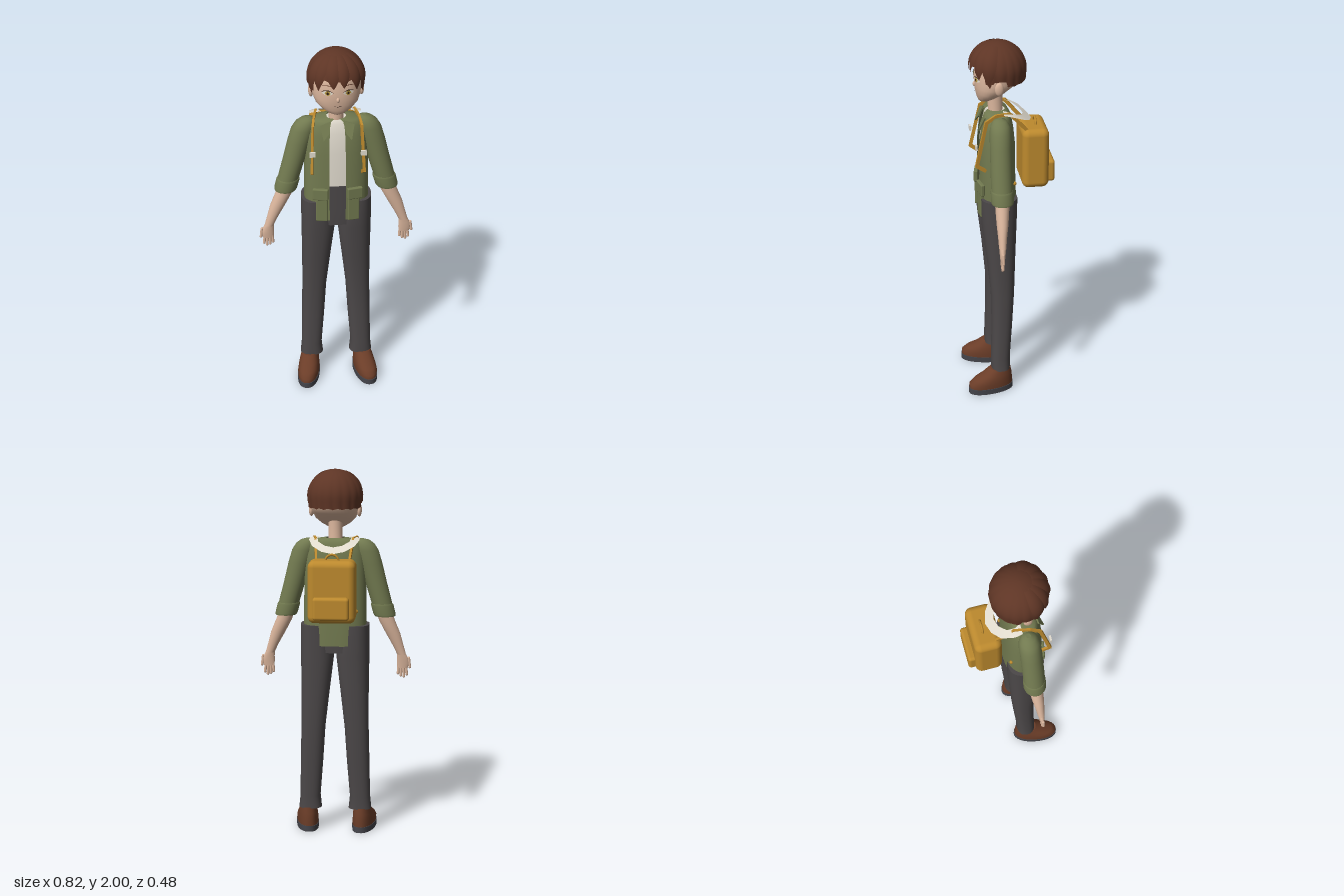
import * as THREE from 'three';
import { mergeGeometries } from 'three/addons/utils/BufferGeometryUtils.js';
import { RoundedBoxGeometry } from 'three/addons/geometries/RoundedBoxGeometry.js';

const mat = (name, color, side = THREE.FrontSide) => {
  const m = new THREE.MeshStandardMaterial({ color, side });
  m.name = name;
  return m;
};

// Grid surface from a rule fn(u, v) -> [x, y, z]; closed joins the u ends
function surface(nu, nv, fn, closed = false) {
  const cols = closed ? nu : nu + 1, pos = [], idx = [];
  for (let i = 0; i <= nv; i++) for (let j = 0; j < cols; j++) pos.push(...fn(j / nu, i / nv));
  for (let i = 0; i < nv; i++) for (let j = 0; j < nu; j++) {
    const a = i * cols + j, b = i * cols + (j + 1) % cols;
    idx.push(a, b, a + cols, b, b + cols, a + cols);
  }
  const g = new THREE.BufferGeometry();
  g.setAttribute('position', new THREE.Float32BufferAttribute(pos, 3));
  g.setIndex(idx);
  g.computeVertexNormals();
  return g;
}

// Point on a superellipse section [y, cx, cz, rx, rz]
function ringPoint([y, cx, cz, rx, rz], a, p) {
  const f = t => Math.sign(t) * Math.abs(t) ** (2 / p);
  return [cx + rx * f(Math.sin(a)), y, cz + rz * f(Math.cos(a))];
}

// Loft through sections ordered upwards; a gap leaves the front open
function loft(rows, { p = 2, gap = 0, n = 32 } = {}) {
  const at = (r, u) => ringPoint(r, gap + u * (2 * Math.PI - 2 * gap), p);
  const m = rows.length - 1;
  const wall = surface(n, m, (u, v) => at(rows[Math.round(v * m)], u), !gap);
  if (gap) return wall;
  const mid = r => [r[1], r[0], r[2]].map((c, i, l) => l[i]);
  const cap = (r, top) => surface(n, 1, (u, v) => ((v === 1) === top ? mid(r) : at(r, u)), true);
  return mergeGeometries([wall, cap(rows[m], true), cap(rows[0], false)]);
}

export function createModel() {
  const D = THREE.DoubleSide;
  const skin = mat('skin', 0xdab59c), hair = mat('hair', 0x5e3525, D), olive = mat('jacket olive', 0x727a50, D);
  const dark = mat('trouser grey', 0x4c4849), gold = mat('pack gold', 0xbd8a2e), cream = mat('cream', 0xe2dccf, D);
  const leather = mat('shoe leather', 0x6b3d28), rubber = mat('sole rubber', 0x45454b);
  const line = mat('dark line', 0x2c1c17, D), iris = mat('iris amber', 0xb0913a, D);
  const model = new THREE.Group();
  const add = (name, geo, m, x = 0, y = 0, z = 0) => {
    const mesh = new THREE.Mesh(geo, m);
    mesh.name = name;
    mesh.position.set(x, y, z);
    model.add(mesh);
    return mesh;
  };
  // Box stretched between two points
  const bar = (name, a, b, w, h, m) => {
    const A = new THREE.Vector3(...a), B = new THREE.Vector3(...b);
    const mesh = add(name, new THREE.BoxGeometry(w, h, A.distanceTo(B) + 0.008), m);
    mesh.position.copy(A).add(B).multiplyScalar(0.5);
    mesh.lookAt(B);
  };

  // Head: [y, half width, front z, back z]
  const head = [[1.68, 0.02, 0.138, 0.1], [1.69, 0.045, 0.147, 0.085], [1.71, 0.077, 0.155, 0.05],
    [1.74, 0.108, 0.162, 0.005], [1.77, 0.121, 0.166, -0.035], [1.8, 0.128, 0.167, -0.065],
    [1.86, 0.131, 0.165, -0.08], [1.91, 0.115, 0.15, -0.065], [1.95, 0.08, 0.12, -0.03], [1.97, 0.03, 0.07, 0.02]]
    .map(([y, w, f, b]) => [y, 0, (f + b) / 2, w, (f - b) / 2]);
  add('head', loft(head, { p: 2.1, n: 40 }), skin);
  add('neck', loft([[1.57, 0, 0.055, 0.045, 0.045], [1.63, 0, 0.058, 0.038, 0.038], [1.73, 0, 0.06, 0.038, 0.04]]), skin);
  add('nose', new THREE.SphereGeometry(1, 16, 10), skin, 0, 1.775, 0.164).scale.set(0.009, 0.014, 0.01);

  // Face details are thin faces laid on the head surface
  const faceZ = (x, y) => {
    const i = Math.max(0, head.findIndex(r => r[0] > y) - 1), t = (y - head[i][0]) / (head[i + 1][0] - head[i][0]);
    const [, , cz, rx, rz] = head[i].map((c, k) => c + (head[i + 1][k] - c) * t);
    return cz + rz * (1 - Math.abs(x / rx) ** 2.1) ** (1 / 2.1);
  };
  const leaf = (name, x, y, w, up, down, off, m) => {
    const s = new THREE.Shape();
    s.moveTo(x - w, y);
    s.quadraticCurveTo(x, y + 2 * down, x + w, y);
    s.quadraticCurveTo(x, y + 2 * up, x - w, y);
    const g = new THREE.ShapeGeometry(s, 10), q = g.attributes.position;
    for (let i = 0; i < q.count; i++) q.setZ(i, faceZ(q.getX(i), q.getY(i)) + off);
    g.computeVertexNormals();
    add(name, g, m);
  };
  for (const s of [1, -1]) {
    leaf('eyeWhite', s * 0.053, 1.814, 0.028, 0.013, -0.012, 0.003, cream);
    leaf('eyeIris', s * 0.052, 1.814, 0.015, 0.013, -0.012, 0.005, iris);
    leaf('eyePupil', s * 0.052, 1.814, 0.006, 0.007, -0.007, 0.007, line);
    leaf('upperLid', s * 0.054, 1.818, 0.031, 0.014, 0.009, 0.006, line);
    leaf('eyebrow', s * 0.055, 1.85, 0.028, 0.008, 0.004, 0.004, hair);
    add('ear', new THREE.SphereGeometry(1, 16, 12), skin, s * 0.128, 1.785, 0.055).scale.set(0.014, 0.036, 0.023);
  }
  leaf('mouth', 0, 1.742, 0.022, -0.003, -0.006, 0.003, line);

  // Hair: grooved cap with an uneven hem, plus overlapping fringe locks
  const hairPoint = (a, y, off) => {
    const d = (y - 1.86) / 0.14;
    const r = (d > 0 ? 0.146 * Math.sqrt(Math.max(0, 1 - d * d)) : 0.146 * (1 + d * 0.1)) + off;
    return [r * Math.sin(a), y, 0.045 + r * Math.cos(a)];
  };
  const hem = a => {
    const c = Math.abs(a > Math.PI ? a - 2 * Math.PI : a);
    const base = c < 0.95 ? 1.885 : c < 1.3 ? 1.81 : c < 1.75 ? 1.825 : 1.795;
    return base + 0.007 * Math.abs(Math.sin(a * 9));
  };
  add('hairCap', surface(108, 16, (u, v) => {
    const a = u * 2 * Math.PI, y0 = hem(a), w = Math.sin(v * Math.PI / 2);
    return hairPoint(a, y0 + (2 - y0) * w, 0.004 * (1 - w) * Math.abs(Math.sin(a * 9)));
  }, true), hair);
  for (const [a0, a1, tip, y0] of [[-1.4, -0.75, -1.15, 1.79], [-1, -0.4, -0.74, 1.825], [-0.55, 0.08, -0.16, 1.845],
    [-0.1, 0.5, 0.2, 1.85], [0.35, 1, 0.72, 1.825], [0.75, 1.4, 1.15, 1.79]])
    add('fringeLock', surface(8, 14, (u, v) => {
      const k = 1 - v, mid = (a0 + a1) / 2 + (tip - (a0 + a1) / 2) * k * k;
      const a = mid + (u - 0.5) * (a1 - a0) * 1.15 * (1 - k ** 3);
      return hairPoint(a, y0 + (1.99 - y0) * Math.sin(v * Math.PI / 2), 0.002 + 0.009 * Math.sin(u * Math.PI) * Math.sin(Math.PI * (0.15 + 0.85 * k)));
    }), hair);

  // Body under an open jacket
  add('shirt', loft([[1.25, 0, 0.055, 0.145, 0.085], [1.45, 0, 0.055, 0.14, 0.084], [1.56, 0, 0.055, 0.125, 0.07],
    [1.61, 0, 0.055, 0.09, 0.057], [1.628, 0, 0.055, 0.05, 0.046]], { p: 2.5 }), cream);
  add('trouserHips', loft([[1.02, 0, 0.055, 0.13, 0.085], [1.1, 0, 0.055, 0.15, 0.088], [1.26, 0, 0.055, 0.15, 0.088]], { p: 2.5 }), dark);
  add('jacketBody', loft([[1.06, 0, 0.055, 0.163, 0.1], [1.17, 0, 0.055, 0.17, 0.1], [1.3, 0, 0.055, 0.168, 0.096],
    [1.45, 0, 0.055, 0.165, 0.095], [1.55, 0, 0.055, 0.158, 0.085], [1.605, 0, 0.055, 0.145, 0.074],
    [1.628, 0, 0.055, 0.12, 0.062], [1.637, 0, 0.055, 0.05, 0.045]], { p: 2.5, gap: 0.18, n: 48 }), olive);

  // Cream collar hanging behind the neck: outer and inner half outlines
  const outer = [[0, 1.57, -0.13], [0.06, 1.58, -0.113], [0.112, 1.605, -0.075], [0.135, 1.632, -0.01], [0.13, 1.64, 0.03]];
  const inner = [[0, 1.6, -0.085], [0.045, 1.607, -0.073], [0.083, 1.625, -0.04], [0.09, 1.642, 0], [0.075, 1.646, 0.03]];
  add('backCollar', surface(8, 1, (u, v) => {
    const k = Math.round(u * 8) - 4, [x, y, z] = (v ? inner : outer)[Math.abs(k)];
    return [-Math.sign(k) * x, y, z];
  }), cream);

  for (const s of [1, -1]) {
    const tube = (name, rows, m, o) => add(name, loft(rows.map(([y, x, ...r]) => [y, s * x, ...r]), o), m);

    // Leg and shoe
    tube('trouserLeg', [[0.13, 0.138, 0.055, 0.063, 0.052], [0.2, 0.138, 0.055, 0.056, 0.052], [0.4, 0.128, 0.045, 0.062, 0.056],
      [0.6, 0.119, 0.04, 0.066, 0.063], [0.8, 0.107, 0.046, 0.077, 0.076], [1.0, 0.096, 0.054, 0.09, 0.092],
      [1.1, 0.1, 0.055, 0.086, 0.096], [1.17, 0.107, 0.055, 0.079, 0.096]], dark, { p: 2.4 });
    const shoe = [add('shoeUpper', loft([[0.03, 0, 0, 0.058, 0.124], [0.055, 0, 0, 0.059, 0.124], [0.078, 0, -0.012, 0.056, 0.11],
      [0.1, 0, -0.034, 0.052, 0.086], [0.135, 0, -0.055, 0.044, 0.058]], { p: 2.2 }), leather),
    add('shoeSole', loft([[0, 0, 0, 0.06, 0.128], [0.032, 0, 0, 0.061, 0.128]], { p: 2.2 }), rubber)];
    shoe.forEach(part => { part.position.set(s * 0.16, 0, 0.1125); part.rotation.y = s * 0.19; });

    // Arm, cuff and hand
    tube('sleeve', [[1.22, 0.268, 0.06, 0.053, 0.053], [1.3, 0.247, 0.06, 0.056, 0.056], [1.4, 0.219, 0.059, 0.058, 0.056],
      [1.5, 0.191, 0.057, 0.062, 0.056], [1.57, 0.168, 0.055, 0.064, 0.056], [1.605, 0.156, 0.055, 0.054, 0.048],
      [1.625, 0.147, 0.055, 0.036, 0.032], [1.632, 0.143, 0.055, 0.012, 0.012]], olive);
    tube('cuff', [[1.215, 0.269, 0.06, 0.056, 0.056], [1.225, 0.266, 0.06, 0.06, 0.059], [1.275, 0.253, 0.06, 0.061, 0.059],
      [1.283, 0.251, 0.06, 0.057, 0.056]], olive);
    tube('forearm', [[1.0, 0.36, 0.073, 0.024, 0.019], [1.05, 0.341, 0.071, 0.029, 0.023], [1.12, 0.312, 0.067, 0.039, 0.031],
      [1.19, 0.279, 0.063, 0.043, 0.036], [1.25, 0.26, 0.061, 0.042, 0.038]], skin);
    tube('palm', [[0.925, 0.366, 0.075, 0.028, 0.01], [0.95, 0.368, 0.075, 0.033, 0.013], [0.98, 0.365, 0.074, 0.03, 0.016],
      [1.01, 0.357, 0.073, 0.023, 0.018]], skin);
    [[0.343, 0.9], [0.357, 0.888], [0.372, 0.883], [0.386, 0.895], [0.402, 0.935]].forEach(([x, y], i) => {
      const f = add(i < 4 ? 'finger' : 'thumb', new THREE.CapsuleGeometry(0.0075, 0.05, 4, 10), skin, s * x, y + 0.02, 0.075);
      f.rotation.z = s * (i < 4 ? 0.06 * (i - 1) : 0.12);
    });

    // Lapel, pocket flap and hanging front panel
    const lapel = new THREE.Shape([[0.035, 1.632], [0.088, 1.615], [0.072, 1.54], [0.042, 1.575]].map(([x, y]) => new THREE.Vector2(s * x, y)));
    const lg = new THREE.ExtrudeGeometry(lapel, { depth: 0.008, bevelEnabled: false }), lp = lg.attributes.position;
    for (let i = 0; i < lp.count; i++) lp.setZ(i, lp.getZ(i) + 0.11 + (1.635 - lp.getY(i)) * 0.42);
    lg.computeVertexNormals();
    add('lapel', lg, olive);
    add('pocketFlap', new RoundedBoxGeometry(0.082, 0.065, 0.022, 2, 0.006), olive, s * 0.09, 1.222, 0.15).rotation.y = s * 0.2;
    add('frontPanel', new RoundedBoxGeometry(0.062, 0.14, 0.018, 2, 0.006), olive, s * 0.083, 1.13, 0.15).rotation.y = s * 0.15;

    // Pack strap over the shoulder, buckle and lower anchor
    const path = [[0.088, 1.53, -0.1], [0.1, 1.635, -0.005], [0.115, 1.634, 0.07], [0.125, 1.605, 0.122], [0.135, 1.37, 0.174], [0.13, 1.34, 0.13]];
    for (let i = 1; i < path.length; i++)
      bar('packStrap', [s * path[i - 1][0], ...path[i - 1].slice(1)], [s * path[i][0], ...path[i].slice(1)], 0.012, 0.018, gold);
    add('strapBuckle', new THREE.BoxGeometry(0.03, 0.027, 0.01), cream, s * 0.131, 1.475, 0.175);
    add('strapAnchor', new THREE.SphereGeometry(0.01, 10, 8), gold, s * 0.12, 1.25, -0.026);
  }

  // Backpack
  add('backpack', new RoundedBoxGeometry(0.25, 0.33, 0.142, 5, 0.035), gold, 0, 1.377, -0.14);
  add('packPocket', new RoundedBoxGeometry(0.19, 0.12, 0.05, 4, 0.016), gold, 0, 1.295, -0.22);
  add('packHandle', new THREE.TorusGeometry(0.034, 0.006, 8, 20, Math.PI), gold, 0, 1.536, -0.15);
  return model;
}
